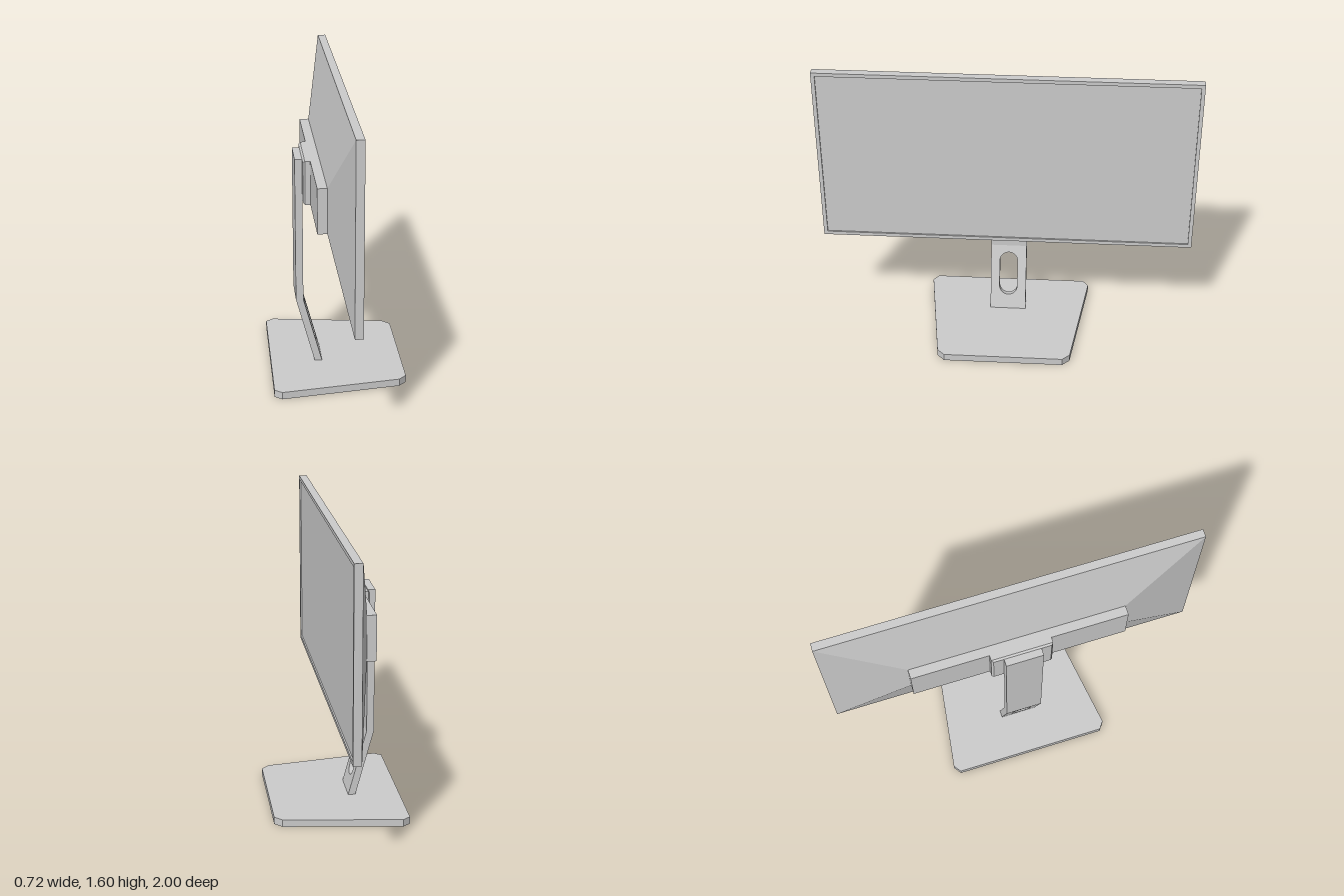
import * as THREE from 'three';
import { toCreasedNormals } from 'three/addons/utils/BufferGeometryUtils.js';

const material = new THREE.MeshStandardMaterial({ color: 0xcccccc });

export function createModel() {
  const model = new THREE.Group();

  const add = (name, geometry, x = 0, y = 0, z = 0) => {
    const mesh = new THREE.Mesh(geometry, material);
    mesh.name = name;
    mesh.position.set(x, y, z);
    model.add(mesh);
    return mesh;
  };

  // Box spanning x0..x1, centred in y and z
  const slab = (name, x0, x1, h, w, y = 0, z = 0) =>
    add(name, new THREE.BoxGeometry(x1 - x0, h, w), (x0 + x1) / 2, y, z);

  // Box whose rear (-x) face is narrowed to rearH by rearW
  const taperedSlab = (name, x0, x1, h, w, rearH, rearW, y) => {
    const geo = new THREE.BoxGeometry(x1 - x0, h, w).toNonIndexed();
    const p = geo.attributes.position;
    for (let i = 0; i < p.count; i++) {
      if (p.getX(i) > 0) continue;
      p.setY(i, Math.sign(p.getY(i)) * rearH / 2);
      p.setZ(i, Math.sign(p.getZ(i)) * rearW / 2);
    }
    geo.computeVertexNormals();
    add(name, geo, (x0 + x1) / 2, y, 0);
  };

  // Rectangle outline, anticlockwise
  const rect = (Type, x0, y0, x1, y1) => new Type([
    [x0, y0], [x1, y0], [x1, y1], [x0, y1],
  ].map(([x, y]) => new THREE.Vector2(x, y)));

  // Outline drawn in z and y, given thickness along +x
  const extrudeX = (shape, depth) => new THREE.ExtrudeGeometry(shape, {
    depth, bevelEnabled: false, curveSegments: 16,
  }).rotateY(Math.PI / 2);

  // Bezel frame and slightly sunken screen
  const midY = 1.1;
  const rim = 0.02;
  const frame = rect(THREE.Shape, -1, -0.5, 1, 0.5);
  frame.holes.push(rect(THREE.Path, -1 + rim, -0.5 + rim, 1 - rim, 0.5 - rim));
  add('bezel', extrudeX(frame, 0.043), 0, midY, 0);
  slab('screen', 0, 0.035, 1 - 2 * rim, 2 - 2 * rim, midY);

  // Tapered rear shell, rear housing and stand mount
  taperedSlab('rearShell', -0.092, 0, 1, 2, 0.24, 1.16, midY);
  slab('rearHousing', -0.142, -0.092, 0.24, 1.16, midY);
  slab('standMount', -0.17, -0.142, 0.24, 0.33, midY);
  taperedSlab('standMountChamfer', -0.18, -0.17, 0.24, 0.33, 0.22, 0.31, midY);

  // Control buttons under the panel
  for (const z of [-0.733, -0.785, -0.853, -0.908]) {
    slab('button', 0.008, 0.03, 0.008, 0.03, 0.6, z);
  }

  // Upright part of the stand
  const bendY = 0.41;
  slab('standColumn', -0.219, -0.179, 1.21 - bendY, 0.2, (1.21 + bendY) / 2);

  // Leaning part of the stand with a cable slot
  const leg = rect(THREE.Shape, -0.1, 0.03, 0.1, bendY);
  const slot = new THREE.Path();
  slot.absarc(0, 0.32, 0.05, 0, Math.PI, false);
  slot.absarc(0, 0.172, 0.05, Math.PI, Math.PI * 2, false);
  slot.closePath();
  leg.holes.push(slot);
  const legGeo = extrudeX(leg, 0.04);
  const p = legGeo.attributes.position;
  for (let i = 0; i < p.count; i++) {
    // Keep the slot square to the leaning face
    const inSlot = Math.abs(p.getZ(i)) < 0.09;
    if (inSlot && p.getX(i) < 0.02) p.setY(i, p.getY(i) - 0.01);
    p.setX(i, p.getX(i) + (bendY - p.getY(i)) * 0.27);
  }
  add('standLeg', toCreasedNormals(legGeo, 0.5), -0.219, 0, 0);

  // Base plate, wider at the back, with clipped corners
  const side = [[-0.36, 0.425], [-0.32, 0.455], [0.315, 0.365], [0.355, 0.325]];
  const outline = [
    ...side.map(([x, z]) => new THREE.Vector2(x, -z)),
    ...side.reverse().map(([x, z]) => new THREE.Vector2(x, z)),
  ];
  add('base', new THREE.ExtrudeGeometry(new THREE.Shape(outline), {
    depth: 0.04, bevelEnabled: false,
  }).rotateX(-Math.PI / 2));

  return model;
}
